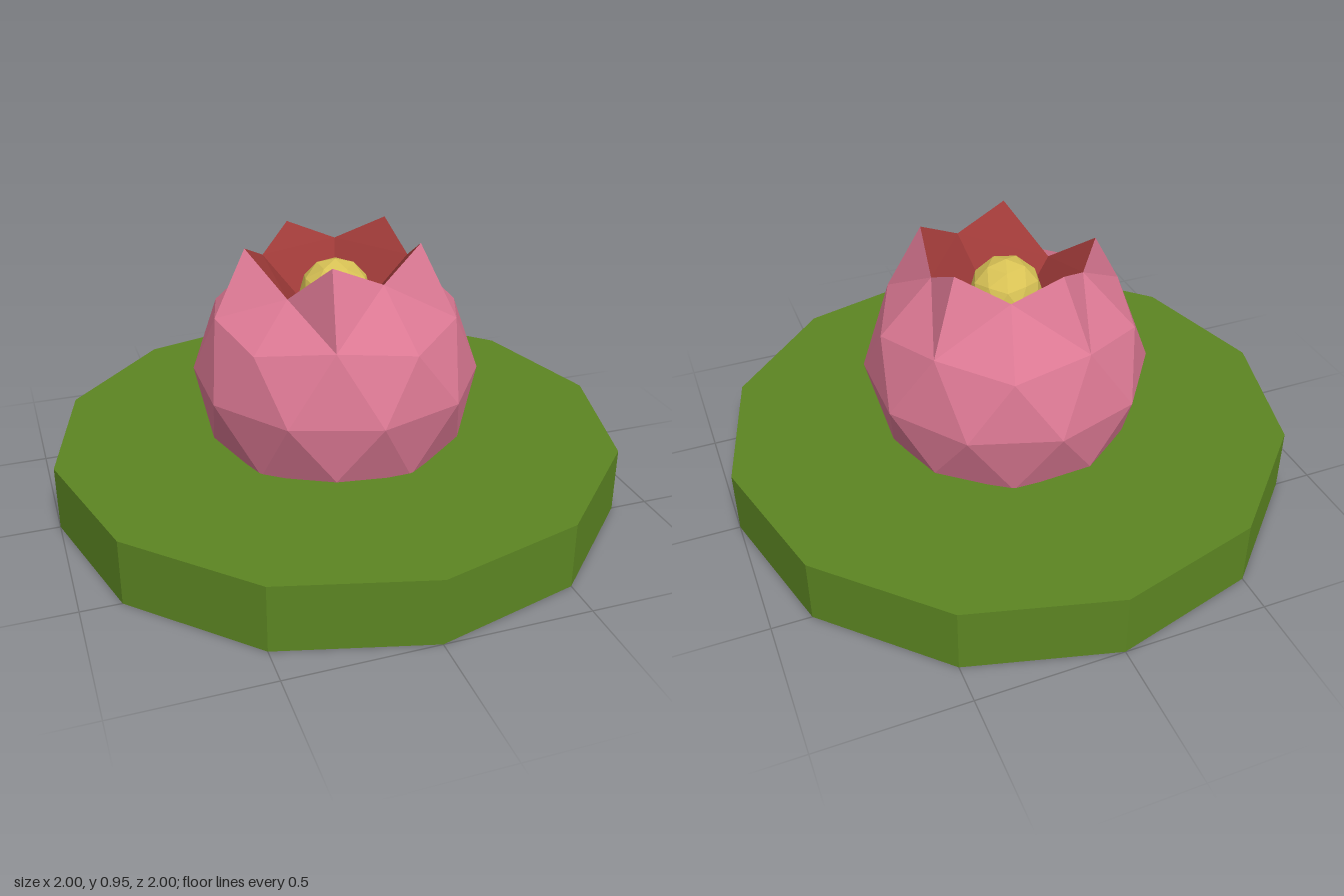
import * as THREE from 'three';

const CENTER_Y = 0.46, RADIUS = 0.5, SQUASH = 0.92;

const material = (color, extra = {}) =>
  new THREE.MeshStandardMaterial({ color, flatShading: true, ...extra });

// Point on a horizontal ring; height and radius are fractions of the bud's radius
function ringPoint(degrees, r, h) {
  const a = THREE.MathUtils.degToRad(degrees);
  return [Math.cos(a) * r * RADIUS, CENTER_Y + h * RADIUS * SQUASH, Math.sin(a) * r * RADIUS];
}

function ring(count, start, r, h) {
  return Array.from({ length: count }, (_, i) => ringPoint(start + (360 / count) * i, r, h));
}

function facetMesh(name, triangles, mat) {
  const geo = new THREE.BufferGeometry();
  geo.setAttribute('position', new THREE.Float32BufferAttribute(triangles.flat(2), 3));
  geo.computeVertexNormals();
  const mesh = new THREE.Mesh(geo, mat);
  mesh.name = name;
  return mesh;
}

function createFlower() {
  const flower = new THREE.Group();
  flower.name = 'flower';

  // Rings of a faceted sphere, from the open rim down to the base
  const rim = ring(5, 0, 0.526, 0.851);
  const shoulder = ring(5, 0, 0.894, 0.447);
  const petalRoot = ring(5, 36, 0.851, 0.526);
  const equator = ring(10, 18, 1, 0);
  const lowCorner = ring(5, 36, 0.894, -0.447);
  const lowMiddle = ring(5, 0, 0.851, -0.526);
  const base = [0, 0.1, 0];
  const throat = [0, 0.57, 0];
  rim[2] = [-0.2, 0.78, 0.1]; // one notch sags lower

  // Uneven petal tips
  const tips = [
    [0.24, 0.95, 0.17], [-0.1, 0.935, 0.27], [-0.3, 0.915, -0.06],
    [-0.09, 0.925, -0.27], [0.24, 0.94, -0.165],
  ];

  const outer = [], inner = [];
  for (let k = 0; k < 5; k++) {
    const n = (k + 1) % 5;
    const r0 = rim[k], r1 = rim[n], s0 = shoulder[k], s1 = shoulder[n];
    const m = petalRoot[k], tip = tips[k], corner = lowCorner[k];
    const before = equator[(2 * k + 9) % 10], e0 = equator[2 * k];
    const e1 = equator[2 * k + 1], e2 = equator[(2 * k + 2) % 10];
    outer.push(
      // folded petal tip
      [r0, tip, m], [tip, r1, m],
      // shoulder of the bud
      [s0, r0, m], [m, r1, s1],
      // upper band
      [before, s0, e0], [s0, m, e0], [e0, m, e1], [m, s1, e1],
      // lower band
      [e0, e1, corner], [before, e0, lowMiddle[k]],
      [lowMiddle[k], e0, corner], [corner, e1, lowMiddle[n]],
      // base, sunk into the pad
      [lowMiddle[k], corner, base], [corner, lowMiddle[n], base],
    );
    // inside of the petal and the funnel below it
    inner.push([r0, r1, tip], [r0, throat, r1]);
  }
  flower.add(facetMesh('petals', outer, material(0xdb7893)));
  flower.add(facetMesh('petalInside', inner, material(0x9e3a38, { side: THREE.DoubleSide })));

  // Faceted ball in the throat, turned to stand on a corner
  const ball = new THREE.IcosahedronGeometry(0.125, 1);
  ball.rotateX(-Math.atan2((1 + Math.sqrt(5)) / 2, 1));
  ball.rotateY(Math.PI / 2);
  const pistil = new THREE.Mesh(ball, material(0xd8c255));
  pistil.name = 'flowerCentre';
  pistil.position.y = 0.74;
  flower.add(pistil);
  return flower;
}

export function createModel() {
  const model = new THREE.Group();
  model.name = 'waterLily';

  // Twelve-sided floating pad
  const pad = new THREE.Mesh(new THREE.CylinderGeometry(1, 1, 0.23, 12), material(0x5c8522));
  pad.name = 'lilyPad';
  pad.position.y = 0.115;

  model.add(pad, createFlower());
  return model;
}
